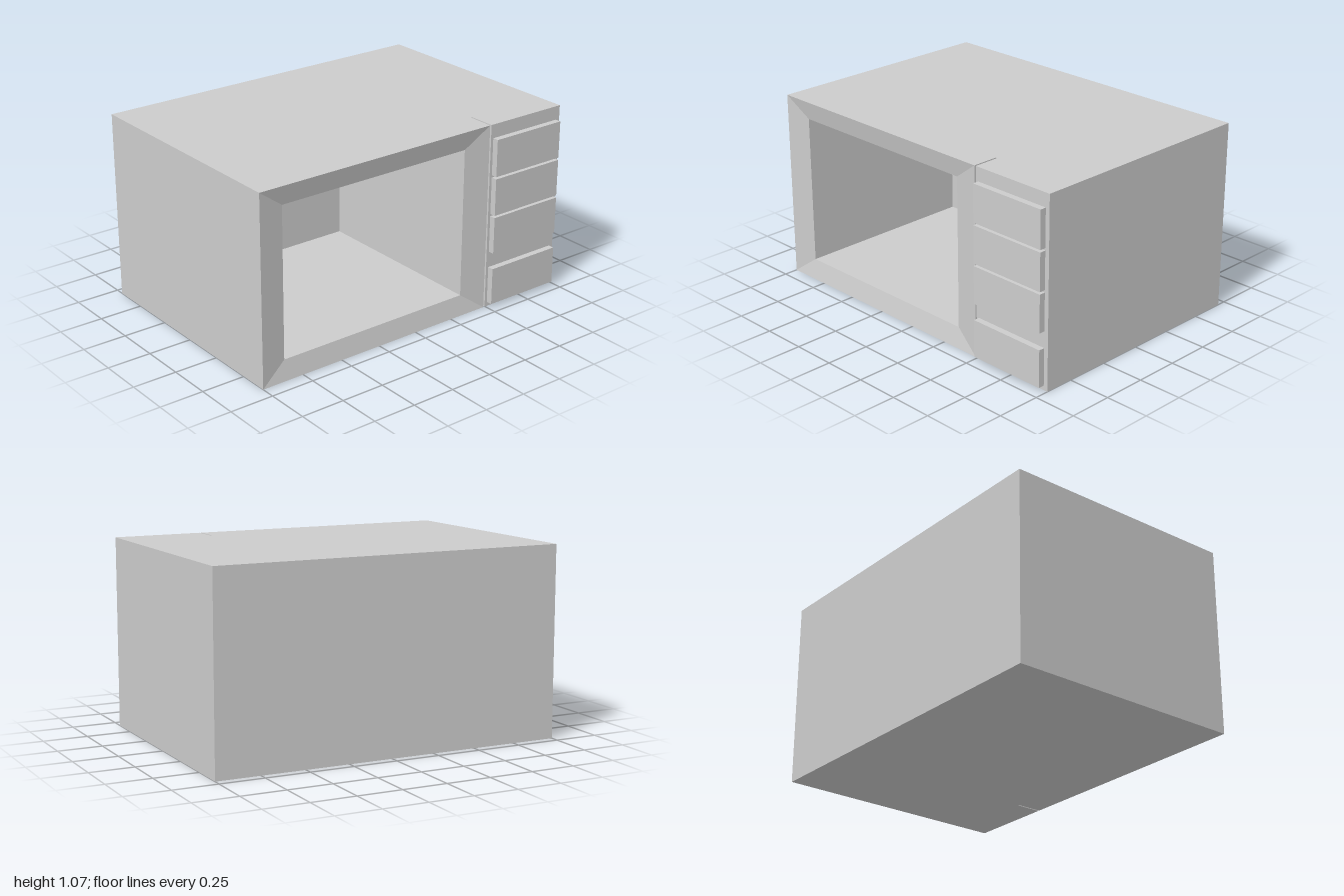
import * as THREE from 'three';

const H = 1.07;                              // overall height
const BACK = -0.7, CAVITY = -0.43, SEAM = 0.52, FRONT = 0.67;
const OPENING = [-0.85, 0.11, 0.335, 0.96];  // x0, y0, x1, y1

export function createModel() {
  const model = new THREE.Group();
  model.name = 'microwaveOven';
  const grey = new THREE.MeshStandardMaterial({ color: 0xcccccc });
  grey.name = 'light grey';

  const add = (name, geometry) => {
    const mesh = new THREE.Mesh(geometry, grey);
    mesh.name = name;
    model.add(mesh);
    return mesh;
  };
  const box = (name, x0, x1, y0, y1, z0, z1) => {
    add(name, new THREE.BoxGeometry(x1 - x0, y1 - y0, z1 - z0))
      .position.set((x0 + x1) / 2, (y0 + y1) / 2, (z0 + z1) / 2);
  };
  const corners = ([x0, y0, x1, y1]) => [[x0, y0], [x1, y0], [x1, y1], [x0, y1]];
  const points = (r) => corners(r).map(([x, y]) => new THREE.Vector2(x, y));

  // Housing: rectangular tube around the cooking cavity, closed by a back block
  const tube = new THREE.Shape(points([-1, 0, 1, H]));
  tube.holes.push(new THREE.Path(points(OPENING).reverse()));
  const housing = new THREE.ExtrudeGeometry(tube, { depth: SEAM - CAVITY, bevelEnabled: false });
  housing.translate(0, 0, CAVITY);
  add('housing', housing);
  box('housingBack', -1, 1, 0, H, BACK, CAVITY);

  // Door frame: rectangular rings joined into a frame that slopes in to the opening
  const outer = [-1, 0, 0.487, H];
  const rings = [[outer, SEAM], [outer, FRONT], [OPENING, FRONT - 0.025], [OPENING, SEAM]]
    .map(([rect, z]) => corners(rect).map(([x, y]) => [x, y, z]));
  const position = [];
  rings.forEach((a, i) => {
    const b = rings[(i + 1) % rings.length];
    for (let j = 0; j < 4; j++) {
      const k = (j + 1) % 4;
      position.push(...a[j], ...a[k], ...b[k], ...a[j], ...b[k], ...b[j]);
    }
  });
  const frame = new THREE.BufferGeometry();
  frame.setAttribute('position', new THREE.Float32BufferAttribute(position, 3));
  frame.computeVertexNormals();
  add('doorFrame', frame);

  // Control panel, set apart from the door by a narrow slit
  box('controlPanel', 0.497, 1, 0, H, SEAM, FRONT);

  // Four raised buttons, the lowest set a little apart
  [0.025, 0.33, 0.555, 0.78].forEach((y, i) => {
    box('button' + (i + 1), 0.513, 0.975, y, y + 0.212, FRONT, 0.705);
  });

  return model;
}
